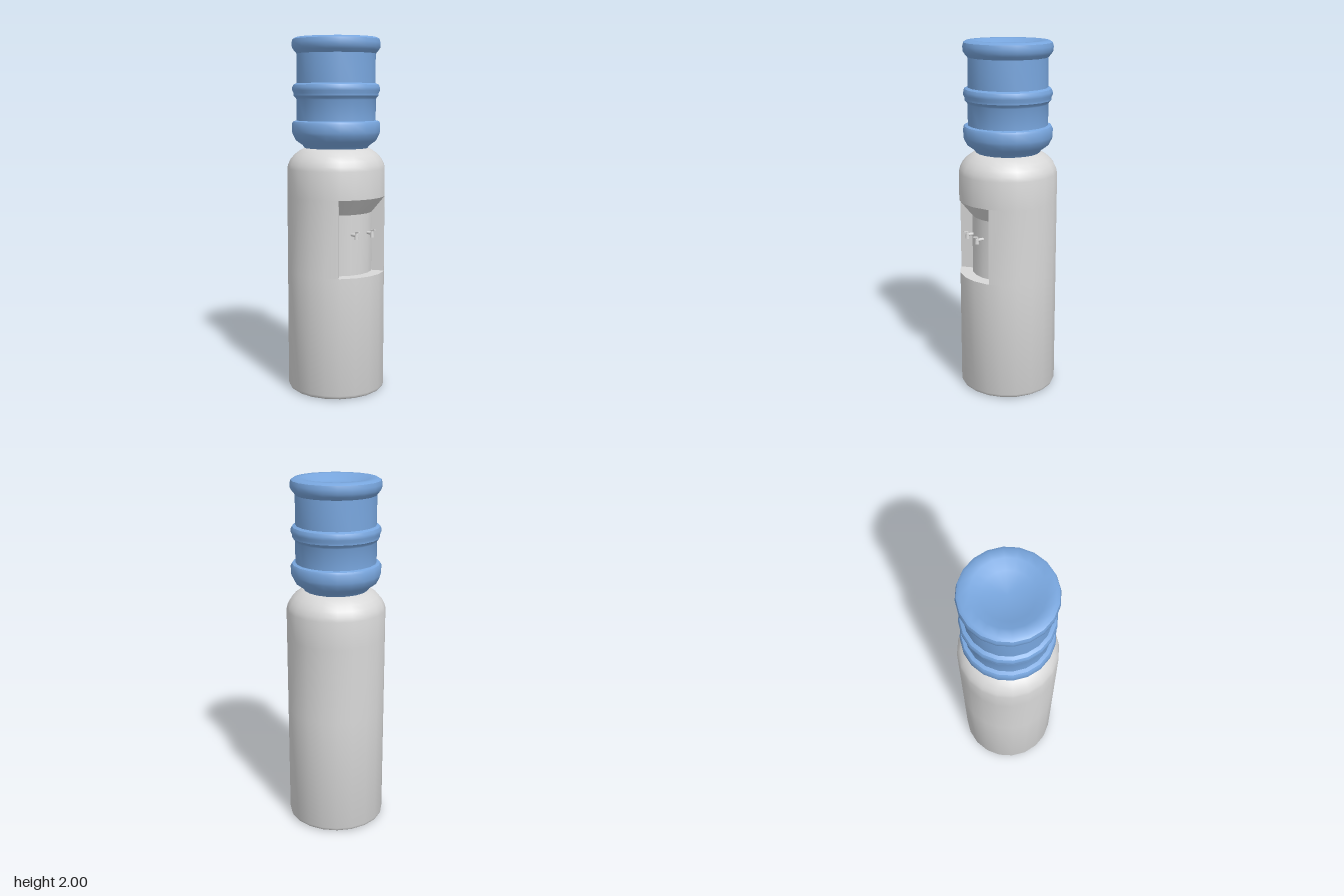
import * as THREE from 'three';
import { toCreasedNormals } from 'three/addons/utils/BufferGeometryUtils.js';

const SIDES = 20, R = 0.278, RECESS_R = 0.205;
const FLOOR_Y = 0.69, OPEN_TOP = 1.12, BACK_TOP = 1.03;
const rad = THREE.MathUtils.degToRad;

export function createModel() {
  const grey = new THREE.MeshStandardMaterial({ color: 0xd8d8d8 });
  grey.name = 'light grey plastic';
  const blue = new THREE.MeshStandardMaterial({ color: 0x78a6de });
  blue.name = 'blue bottle plastic';
  const model = new THREE.Group();
  model.name = 'waterDispenser';

  const add = (name, geometry, material, parent = model) => {
    const mesh = new THREE.Mesh(geometry, material);
    mesh.name = name;
    parent.add(mesh);
    return mesh;
  };
  const lathe = (profile, crease = 0.6) => toCreasedNormals(
    new THREE.LatheGeometry(profile.map(([r, y]) => new THREE.Vector2(r, y)), SIDES), crease);

  // Geometry from a list of four-cornered faces, counter-clockwise from outside
  const fromQuads = (quads) => {
    const positions = quads.flatMap(([a, b, c, d]) => [a, b, c, a, c, d].flat());
    const geometry = new THREE.BufferGeometry();
    geometry.setAttribute('position', new THREE.Float32BufferAttribute(positions, 3));
    return toCreasedNormals(geometry, 0.6);
  };
  // Point on the faceted cylinder at an angle measured from the front
  const onRing = (radius, degrees, y) => {
    const offset = ((degrees % 18) + 18) % 18 - 9;
    const r = radius * Math.cos(rad(9)) / Math.cos(rad(offset));
    return [r * Math.sin(rad(degrees)), y, r * Math.cos(rad(degrees))];
  };

  // Cabinet below and above the recess
  add('cabinetBase', lathe([
    [0, 0], [0.262, 0], [0.273, 0.008], [R, 0.022], [R, FLOOR_Y],
  ]), grey);
  add('cabinetTop', lathe([
    [R, OPEN_TOP], [R, 1.275], [0.272, 1.3], [0.258, 1.328], [0.235, 1.355],
    [0.205, 1.377], [0.178, 1.39], [0, 1.39],
  ]), grey);

  // Cabinet wall around the opening
  const edge = 38.5;
  const wallAngles = [edge];
  for (let a = 54; a <= 306; a += 18) wallAngles.push(a);
  wallAngles.push(360 - edge);
  add('cabinetWall', fromQuads(wallAngles.slice(1).map((b, i) => {
    const a = wallAngles[i];
    return [onRing(R, a, FLOOR_Y), onRing(R, b, FLOOR_Y), onRing(R, b, OPEN_TOP), onRing(R, a, OPEN_TOP)];
  })), grey);

  // Recess: curved back, flat floor, sloping ceiling and two sides
  const angles = [-edge, -36, -18, 0, 18, 36, edge];
  const outer = (a, y) => onRing(R, a, y);
  const inner = (a, y) => onRing(RECESS_R, a < -36 ? -36.5 : a > 36 ? 41 : a, y);
  const back = [], floor = [], ceiling = [];
  for (let i = 0; i < angles.length - 1; i++) {
    const a = angles[i], b = angles[i + 1];
    back.push([inner(a, FLOOR_Y), inner(b, FLOOR_Y), inner(b, BACK_TOP), inner(a, BACK_TOP)]);
    floor.push([outer(a, FLOOR_Y), outer(b, FLOOR_Y), inner(b, FLOOR_Y), inner(a, FLOOR_Y)]);
    ceiling.push([inner(a, BACK_TOP), inner(b, BACK_TOP), outer(b, OPEN_TOP), outer(a, OPEN_TOP)]);
  }
  add('recessBack', fromQuads(back), grey);
  add('recessFloor', fromQuads(floor), grey);
  add('recessCeiling', fromQuads(ceiling), grey);
  add('recessSides', fromQuads([
    [outer(-edge, FLOOR_Y), inner(-edge, FLOOR_Y), inner(-edge, BACK_TOP), outer(-edge, OPEN_TOP)],
    [inner(edge, FLOOR_Y), outer(edge, FLOOR_Y), outer(edge, OPEN_TOP), inner(edge, BACK_TOP)],
  ]), grey);

  // Two small taps
  for (const [name, x] of [['rightTap', -0.055], ['leftTap', 0.063]]) {
    const tap = new THREE.Group();
    tap.name = name;
    tap.position.set(x, 0.92, 0.19);
    const pipe = add('tapPipe', new THREE.CylinderGeometry(0.009, 0.009, 0.045, 10), grey, tap);
    pipe.rotation.x = Math.PI / 2;
    pipe.position.z = 0.022;
    add('tapSpout', new THREE.CylinderGeometry(0.009, 0.012, 0.03, 10), grey, tap).position.set(0, -0.007, 0.042);
    const lever = add('tapLever', new THREE.BoxGeometry(0.008, 0.007, 0.03), grey, tap);
    lever.position.set(0, 0.018, 0.05);
    lever.rotation.x = -0.25;
    add('tapStem', new THREE.CylinderGeometry(0.004, 0.004, 0.016, 8), grey, tap).position.set(0, 0.012, 0.042);
    model.add(tap);
  }

  // Upturned bottle with ribs and a dished end
  add('bottle', lathe([
    [0, 1.388], [0.178, 1.388], [0.19, 1.405], [0.228, 1.432], [0.245, 1.465], [0.25, 1.48],
    [0.25, 1.525], [0.243, 1.538], [0.224, 1.543], [0.224, 1.66], [0.228, 1.668],
    [0.24, 1.682], [0.24, 1.695], [0.247, 1.71], [0.247, 1.727], [0.24, 1.742], [0.222, 1.75],
    [0.222, 1.912], [0.237, 1.93], [0.247, 1.945], [0.249, 1.97], [0.244, 1.99], [0.228, 2],
    [0.182, 2], [0.132, 1.97], [0, 1.97],
  ]), blue);

  return model;
}
